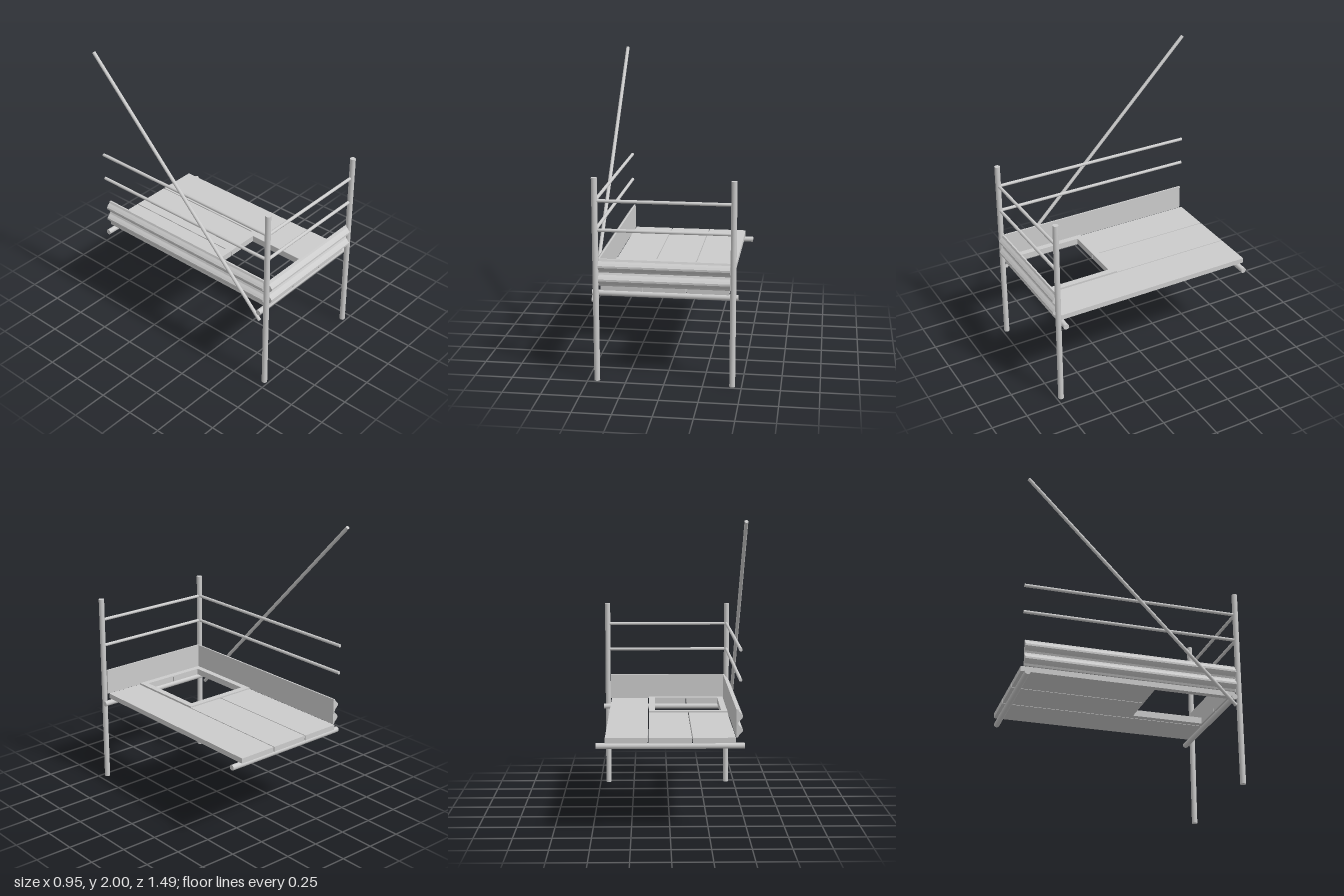
import * as THREE from 'three';

const material = new THREE.MeshStandardMaterial({ color: 0xcccccc });
const V = (x, y, z) => new THREE.Vector3(x, y, z);

export function createModel() {
  const model = new THREE.Group();
  model.name = 'scaffoldBay';

  const add = (name, geometry) => {
    const mesh = new THREE.Mesh(geometry, material);
    mesh.name = name;
    model.add(mesh);
    return mesh;
  };

  // Round tube between two points
  const tube = (name, a, b, radius) => {
    const dir = b.clone().sub(a);
    const mesh = add(name, new THREE.CylinderGeometry(radius, radius, dir.length(), 24));
    mesh.position.copy(a).add(b).multiplyScalar(0.5);
    mesh.quaternion.setFromUnitVectors(V(0, 1, 0), dir.normalize());
    return mesh;
  };

  // Slab lying flat: outline and holes given as [x0, x1, z0, z1]
  const rect = (Type, [x0, x1, z0, z1]) => new Type([
    new THREE.Vector2(x0, -z1), new THREE.Vector2(x1, -z1),
    new THREE.Vector2(x1, -z0), new THREE.Vector2(x0, -z0)]);
  const slab = (name, shape, y, depth) => {
    const geometry = new THREE.ExtrudeGeometry(shape, { depth, bevelEnabled: false });
    add(name, geometry.rotateX(-Math.PI / 2)).position.y = y;
  };

  // Front posts
  tube('rightPost', V(-0.44, 0, 0.72), V(-0.44, 1.35, 0.72), 0.019);
  tube('leftPost', V(0.44, 0, 0.72), V(0.44, 1.35, 0.72), 0.019);

  // Guard rails along the front and one side
  for (const y of [1.01, 1.2]) {
    tube('frontRail', V(-0.44, y, 0.717), V(0.44, y, 0.717), 0.011);
    tube('sideRail', V(-0.438, y, 0.72), V(-0.438, y, -0.735), 0.011);
  }

  // Transoms under the deck
  for (const z of [0.678, -0.702])
    tube('transom', V(-0.47, 0.585, z), V(0.47, 0.585, z), 0.019);

  // Diagonal brace
  tube('diagonalBrace', V(-0.465, 0.525, 0.688), V(-0.465, 1.992, -0.737), 0.012);

  // Deck planks, the first two cut away around the hatch
  const back = -0.735, front = 0.703, hx0 = -0.37, hx1 = 0.092, hz0 = 0.163, hz1 = 0.66;
  const outline = (points) => new THREE.Shape(points.map(([x, z]) => new THREE.Vector2(x, -z)));
  slab('plank', outline([[-0.412, front], [-0.142, front], [-0.142, hz1], [hx0, hz1],
    [hx0, hz0], [-0.142, hz0], [-0.142, back], [-0.412, back]]), 0.608, 0.035);
  slab('plank', outline([[-0.136, front], [0.136, front], [0.136, back], [-0.136, back],
    [-0.136, hz0], [hx1, hz0], [hx1, hz1], [-0.136, hz1]]), 0.608, 0.035);
  slab('plank', rect(THREE.Shape, [0.142, 0.412, back, front]), 0.608, 0.035);

  // Thin frame around the hatch
  const frame = rect(THREE.Shape, [-0.412, 0.136, 0.118, front]);
  frame.holes.push(rect(THREE.Path, [hx0, hx1, hz0, hz1]));
  slab('hatchFrame', frame, 0.643, 0.009);

  // Toe boards: flat inside, two rounded ribs outside
  const toeBoard = (name, length) => {
    const y0 = 0.642, y1 = 0.82, steps = 14;
    const profile = [new THREE.Vector2(0, y1)];
    for (let i = 0; i <= steps; i++) {
      const t = i / steps;
      profile.push(new THREE.Vector2(
        -0.027 + 0.016 * Math.cos(t * Math.PI * 4), y1 + (y0 - y1) * t));
    }
    profile.push(new THREE.Vector2(0, y0));
    return add(name, new THREE.ExtrudeGeometry(new THREE.Shape(profile),
      { depth: length, bevelEnabled: false }));
  };
  toeBoard('sideToeBoard', 1.42).position.set(-0.415, 0, -0.718);
  const frontBoard = toeBoard('frontToeBoard', 0.84);
  frontBoard.rotation.y = Math.PI / 2;
  frontBoard.position.set(-0.42, 0, 0.706);

  return model;
}
